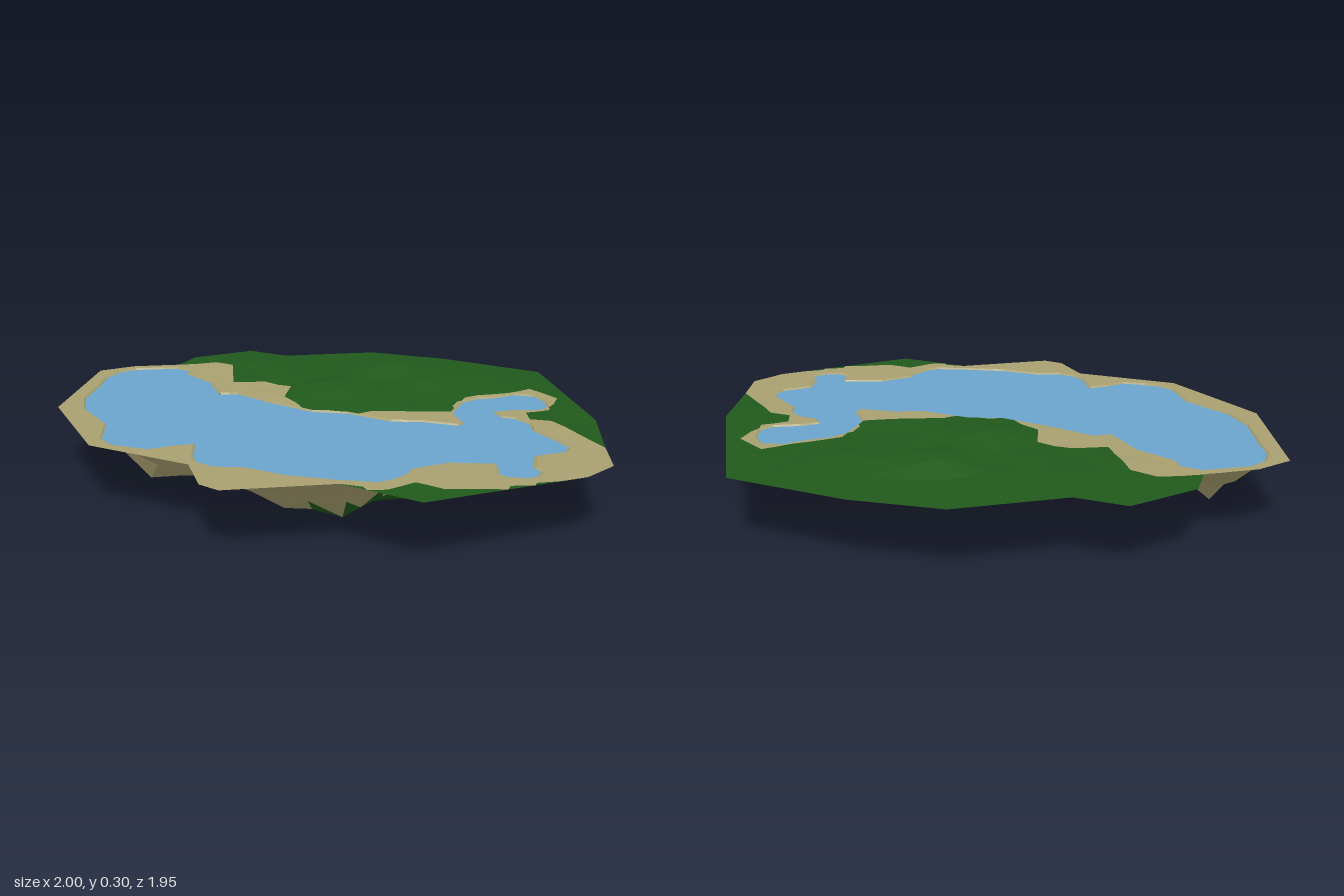
import * as THREE from 'three';

const LEVEL = 0.25;

// outer edge of the terrain, as x, z pairs
const outline = pairs([-0.87, -0.71, -0.73, -0.765, -0.53, -0.77, -0.46, -0.89, -0.2, -0.98, -0.05, -0.87, 0.35, -0.88,
  0.64, -0.73, 1, -0.45, 1, 0.24, 0.92, 0.55, 0.88, 0.73, 0.76, 0.82, 0.19, 0.97, -0.04, 0.78, -0.42, 0.79,
  -0.48, 0.73, -0.51, 0.54, -0.85, 0.3, -1, -0.18]);

// shore of the open lake; the first run follows the headland
const headlandShore = pairs([-0.48, -0.73, -0.49, -0.62, -0.4, -0.48, -0.37, -0.3, -0.3, -0.3, -0.17, -0.15, -0.03, -0.02,
  0.1, 0.02, 0.25, 0.14, 0.36, 0.16, 0.48, 0.22, 0.5, 0.2, 0.49, 0.07, 0.59, -0.11, 0.7, -0.11, 0.85, -0.16]);
const outerShore = pairs([0.91, -0.07, 0.88, 0.06, 0.83, 0.09, 0.73, 0.08, 0.66, 0.09, 0.67, 0.14, 0.76, 0.2, 0.74, 0.32,
  0.78, 0.42, 0.83, 0.56, 0.66, 0.6, 0.63, 0.7, 0.66, 0.78, 0.52, 0.82, 0.48, 0.75, 0.5, 0.66, 0.35, 0.63,
  0.22, 0.67, 0.18, 0.75, 0.08, 0.78, -0.05, 0.74, -0.2, 0.68, -0.33, 0.59, -0.48, 0.56, -0.5, 0.46,
  -0.49, 0.33, -0.57, 0.34, -0.6, 0.39, -0.82, 0.28, -0.81, 0.05, -0.9, -0.15, -0.91, -0.3, -0.86, -0.5,
  -0.83, -0.67, -0.72, -0.73]);
const shore = [...headlandShore, ...outerShore];

// limit of the beach, beyond which grass begins
const beach = pairs([-0.87, -0.71, -0.73, -0.765, -0.37, -0.77, -0.3, -0.7, -0.31, -0.44, -0.18, -0.43, -0.08, -0.34,
  -0.12, -0.2, -0.04, -0.03, 0.1, 0.01, 0.38, 0.06, 0.48, 0.06, 0.58, -0.12, 0.78, -0.15, 0.88, -0.19, 0.95, -0.05,
  0.87, 0.1, 0.77, 0.12, 0.76, 0.2, 0.83, 0.24, 0.92, 0.55, 0.88, 0.73, 0.76, 0.82, 0.4, 0.88, 0.28, 0.87,
  0.2, 0.8, 0.1, 0.85, -0.04, 0.78, -0.42, 0.79, -0.48, 0.73, -0.51, 0.54, -0.85, 0.3, -1, -0.18]);

function pairs(a) {
  return Array.from({ length: a.length / 2 }, (_, i) => [a[2 * i], a[2 * i + 1]]);
}

function seeded(seed) {
  return () => (seed = (seed * 16807) % 2147483647) / 2147483647;
}

function inside(poly, x, z) {
  let hit = false;
  poly.forEach(([ax, az], i) => {
    const [bx, bz] = poly[(i + 1) % poly.length];
    if ((az > z) !== (bz > z) && x < ax + ((bx - ax) * (z - az)) / (bz - az)) hit = !hit;
  });
  return hit;
}

function distanceTo(poly, x, z) {
  let best = Infinity;
  poly.forEach(([ax, az], i) => {
    const [bx, bz] = poly[(i + 1) % poly.length];
    const dx = bx - ax, dz = bz - az;
    const t = THREE.MathUtils.clamp(((x - ax) * dx + (z - az) * dz) / (dx * dx + dz * dz), 0, 1);
    best = Math.min(best, Math.hypot(x - ax - t * dx, z - az - t * dz));
  });
  return best;
}

const hill = (x, z, cx, cz, r) => Math.exp(-((x - cx) ** 2 + (z - cz) ** 2) / (r * r));

// terrain height: bowl under the lake, flat beach, low knolls on the grass
function heightAt(x, z, noise) {
  const d = distanceTo(shore, x, z);
  if (inside(shore, x, z)) {
    const deepest = 0.195 + 0.075 * hill(x, z, -0.07, 0.3, 0.19);
    const depth = Math.min(d * 0.95, deepest) + (noise - 0.5) * Math.min(0.035, d * 0.3);
    return Math.max(0, LEVEL - depth);
  }
  const edge = Math.min(1, d / 0.15, distanceTo(outline, x, z) / 0.25);
  if (inside(beach, x, z)) return LEVEL + 0.004 * noise * edge;
  const knolls = 0.04 * hill(x, z, 0.1, -0.27, 0.13) + 0.04 * hill(x, z, 0.32, -0.51, 0.13) + 0.022 * hill(x, z, 0.56, -0.4, 0.16);
  return LEVEL + edge * (knolls + 0.012 * noise);
}

// scattered terrain points: the three border lines, then a jittered grid
function scatter() {
  const rand = seeded(77), pts = [];
  const add = (x, z, gap) => {
    if (pts.every(p => Math.hypot(p[0] - x, p[1] - z) > gap)) pts.push([x, z]);
  };
  [[outline, 0.1], [shore, 0.06], [beach, 0.1]].forEach(([poly, step]) => poly.forEach(([ax, az], i) => {
    const [bx, bz] = poly[(i + 1) % poly.length];
    const n = Math.ceil(Math.hypot(bx - ax, bz - az) / step);
    for (let k = 0; k < n; k++) add(ax + ((bx - ax) * k) / n, az + ((bz - az) * k) / n, 0.015);
  }));
  for (let x = -1; x < 1; x += 0.09) for (let z = -1; z < 1; z += 0.09) {
    const px = x + (rand() - 0.5) * 0.06, pz = z + (rand() - 0.5) * 0.06;
    if (inside(outline, px, pz)) add(px, pz, 0.05);
  }
  return pts;
}

// incremental Delaunay triangulation of [x, z] points
function triangulate(points) {
  const rand = seeded(5);
  const pts = points.map(([x, z]) => [x + (rand() - 0.5) * 1e-5, z + (rand() - 0.5) * 1e-5]);
  const n = pts.length;
  pts.push([-60, -50], [60, -50], [0, 70]);
  const make = (a, b, c) => {
    const [ax, ay] = pts[a], bx = pts[b][0] - ax, by = pts[b][1] - ay, cx = pts[c][0] - ax, cy = pts[c][1] - ay;
    const d = 2 * (bx * cy - by * cx), b2 = bx * bx + by * by, c2 = cx * cx + cy * cy;
    const ux = (cy * b2 - by * c2) / d, uy = (bx * c2 - cx * b2) / d;
    return { v: d < 0 ? [a, b, c] : [a, c, b], x: ax + ux, y: ay + uy, r2: ux * ux + uy * uy };
  };
  let tris = [make(n, n + 1, n + 2)];
  for (let i = 0; i < n; i++) {
    const edges = new Map(), keep = [];
    for (const t of tris) {
      if ((pts[i][0] - t.x) ** 2 + (pts[i][1] - t.y) ** 2 >= t.r2) { keep.push(t); continue; }
      t.v.forEach((a, k) => {
        const b = t.v[(k + 1) % 3], key = Math.min(a, b) + '_' + Math.max(a, b);
        if (edges.has(key)) edges.delete(key); else edges.set(key, [a, b]);
      });
    }
    edges.forEach(([a, b]) => keep.push(make(a, b, i)));
    tris = keep;
  }
  return tris.map(t => t.v).filter(v => v.every(k => k < n));
}

export function createModel() {
  const group = new THREE.Group();
  const material = color => new THREE.MeshStandardMaterial({ color, flatShading: true, side: THREE.DoubleSide });
  const grass = material(0x20591c), sand = material(0xa8a070), blue = material(0x6ba4cc);

  // sort the terrain faces into parts
  const points = scatter(), rand = seeded(31);
  const heights = points.map(([x, z]) => {
    const noise = rand();
    return distanceTo(outline, x, z) < 0.002 || distanceTo(shore, x, z) < 0.002 ? LEVEL : heightAt(x, z, noise);
  });
  const parts = { grassLand: [], sandBeach: [], lakeBed: [], weedPatches: [] };
  const weeds = [[-0.48, -0.08, 0.2], [0.08, 0.43, 0.17], [0.38, 0.44, 0.12]];
  for (const tri of triangulate(points)) {
    const cx = tri.reduce((s, k) => s + points[k][0] / 3, 0), cz = tri.reduce((s, k) => s + points[k][1] / 3, 0);
    if (!inside(outline, cx, cz) || distanceTo(outline, cx, cz) < 1e-4) continue;
    let name = inside(beach, cx, cz) ? 'sandBeach' : 'grassLand';
    if (inside(shore, cx, cz)) {
      name = weeds.some(([x, z, r]) => Math.hypot(cx - x, cz - z) < r) ? 'weedPatches' : 'lakeBed';
    }
    tri.forEach(k => parts[name].push(points[k][0], heights[k], points[k][1]));
  }
  for (const [name, list] of Object.entries(parts)) {
    const geometry = new THREE.BufferGeometry();
    geometry.setAttribute('position', new THREE.Float32BufferAttribute(list, 3));
    geometry.computeVertexNormals();
    const mesh = new THREE.Mesh(geometry, name === 'grassLand' || name === 'weedPatches' ? grass : sand);
    mesh.name = name;
    group.add(mesh);
  }

  // water sheet, cutting straight beneath the headland
  const rim = [headlandShore[0], headlandShore[headlandShore.length - 1], ...outerShore];
  const sheet = new THREE.ShapeGeometry(new THREE.Shape(rim.map(([x, z]) => new THREE.Vector2(x, -z))));
  sheet.rotateX(-Math.PI / 2);
  const water = new THREE.Mesh(sheet, blue);
  water.name = 'water';
  water.position.y = LEVEL - 0.006;
  group.add(water);
  return group;
}
